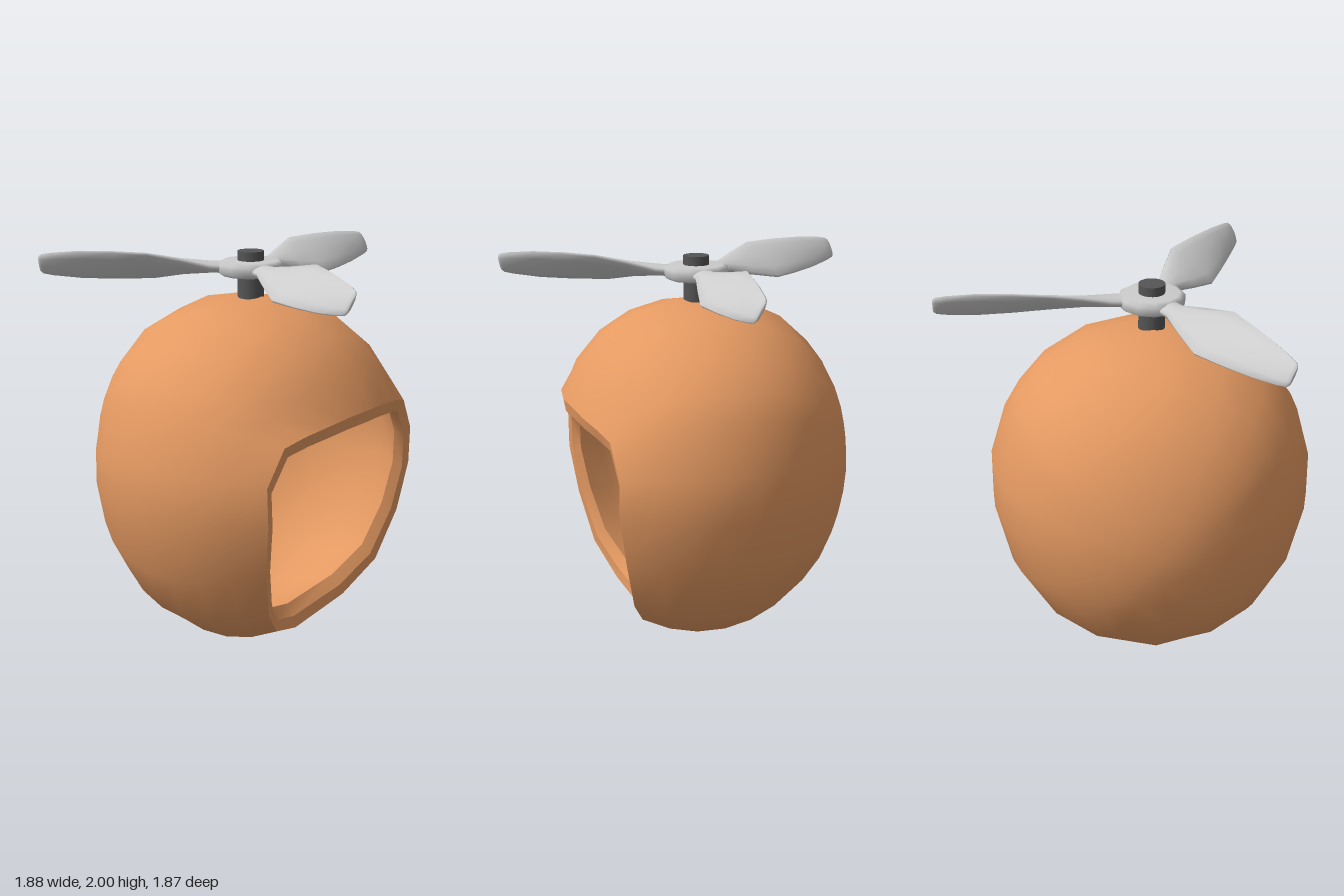
import * as THREE from 'three';
import { mergeVertices } from 'three/addons/utils/BufferGeometryUtils.js';

const orange = new THREE.MeshStandardMaterial({ color: 0xe59a62, side: THREE.DoubleSide });
const grey = new THREE.MeshStandardMaterial({ color: 0xcccccc });
const dark = new THREE.MeshStandardMaterial({ color: 0x555555 });

// Smooth skin through closed loops of points
function loft(rows, flip = false) {
  const n = rows[0].length, index = [];
  for (let i = 0; i < rows.length - 1; i++) {
    for (let j = 0; j < n; j++) {
      const k = (j + 1) % n;
      const a = i * n + j, b = i * n + k, c = a + n, d = b + n;
      if (flip) index.push(a, c, b, b, c, d);
      else index.push(a, b, c, b, d, c);
    }
  }
  let g = new THREE.BufferGeometry();
  g.setAttribute('position', new THREE.Float32BufferAttribute(rows.flat(2), 3));
  g.setIndex(index);
  g = mergeVertices(g, 1e-4);
  g.computeVertexNormals();
  return g;
}

function add(group, name, geometry, material) {
  const mesh = new THREE.Mesh(geometry, material);
  mesh.name = name;
  group.add(mesh);
  return mesh;
}

// Half of the face opening, from the brow down to the chin
const halfRim = [
  [0, 1.295, 0.70], [0.15, 1.285, 0.68], [0.29, 1.27, 0.66], [0.42, 1.245, 0.62],
  [0.54, 1.21, 0.58], [0.65, 1.04, 0.56], [0.64, 0.85, 0.56], [0.60, 0.59, 0.52],
  [0.49, 0.33, 0.46], [0.305, 0.17, 0.375], [0, 0.06, 0.28],
];
const rim = [...halfRim, ...halfRim.slice(1, -1).reverse().map(([x, y, z]) => [-x, y, z])];

// Egg-shaped wall running from an opening loop to the back pole
function shellRows(loop, inset) {
  const steps = 11, cy = 0.92, rx = 0.805 - inset, rz = 0.785 - inset;
  const ry = (up) => (up > 0 ? 0.87 : 0.92) - inset;
  const bulge = (u) => (u > 0 ? 0.14 * u * u * (1 - u * u) : 0);
  const rows = [loop];
  for (let i = 1; i <= steps; i++) {
    const t = i / steps;
    rows.push(loop.map(([x, y, z]) => {
      const p = new THREE.Vector3(x / rx, (y - cy) / ry(y - cy), z / rz);
      const s0 = p.length();
      p.normalize();
      const extra = s0 - 1 - bulge(p.y);
      const az = Math.atan2(p.y, p.x);
      const phi = THREE.MathUtils.lerp(Math.acos(p.z), Math.PI, t);
      const uy = Math.sin(phi) * Math.sin(az);
      const s = 1 + bulge(uy) + extra * (1 - t) ** 3;
      return [s * Math.sin(phi) * Math.cos(az) * rx, cy + s * uy * ry(uy), s * Math.cos(phi) * rz];
    }));
  }
  return rows;
}

function makeHelmet() {
  const helmet = new THREE.Group();
  helmet.name = 'helmet';
  const mid = rim.map(([x, y, z]) => [x * 0.925, 0.685 + (y - 0.685) * 0.9, z - 0.01]);
  const inner = rim.map(([x, y, z]) => [x * 0.88, 0.93 + (y - 0.93) * 0.86, z - 0.05]);
  add(helmet, 'outerShell', loft(shellRows(rim, 0)), orange);
  add(helmet, 'rimFace', loft([rim, mid], true), orange);
  add(helmet, 'rimBevel', loft([mid, inner], true), orange);
  add(helmet, 'innerShell', loft(shellRows(inner, 0.05), true), orange);
  return helmet;
}

// Twisted blade along +x: radius, half chord, half thickness, pitch in degrees
function bladeGeometry() {
  const stations = [
    [0.08, 0.06, 0.03, 0], [0.20, 0.06, 0.03, 8], [0.34, 0.10, 0.028, 27],
    [0.50, 0.145, 0.024, 33], [0.68, 0.122, 0.022, 42], [0.86, 0.097, 0.02, 52],
    [1.0, 0.073, 0.018, 58], [1.05, 0.06, 0.015, 61], [1.066, 0.045, 0.008, 62], [1.066, 0, 0, 62],
  ];
  const sides = 10;
  return loft(stations.map(([r, chord, thick, pitch]) => {
    const p = THREE.MathUtils.degToRad(pitch);
    return Array.from({ length: sides }, (_, j) => {
      const a = (j / sides) * Math.PI * 2;
      const u = chord * Math.sin(a), v = thick * Math.cos(a);
      return [r, v * Math.cos(p) - u * Math.sin(p), u * Math.cos(p) + v * Math.sin(p)];
    });
  }));
}

function makePropeller() {
  const propeller = new THREE.Group();
  propeller.name = 'propeller';
  propeller.position.y = 1.917;
  // Hub disc with softened edges
  const profile = [[0, -0.037], [0.14, -0.037], [0.165, -0.022], [0.165, 0.022], [0.14, 0.037], [0, 0.037]];
  add(propeller, 'hub', new THREE.LatheGeometry(profile.map(([x, y]) => new THREE.Vector2(x, y)), 12), grey);
  const blade = bladeGeometry();
  for (let i = 0; i < 3; i++) {
    add(propeller, 'blade' + (i + 1), blade, grey).rotation.y = (i * Math.PI * 2) / 3;
  }
  return propeller;
}

export function createModel() {
  const model = new THREE.Group();
  model.name = 'propellerHelmet';
  const body = new THREE.Group();
  body.name = 'body';
  body.position.x = -0.135;
  body.add(makeHelmet(), makePropeller());
  // Shaft through the hub
  add(body, 'shaft', new THREE.CylinderGeometry(0.066, 0.066, 0.25, 20), dark).position.y = 1.875;
  model.add(body);
  return model;
}
